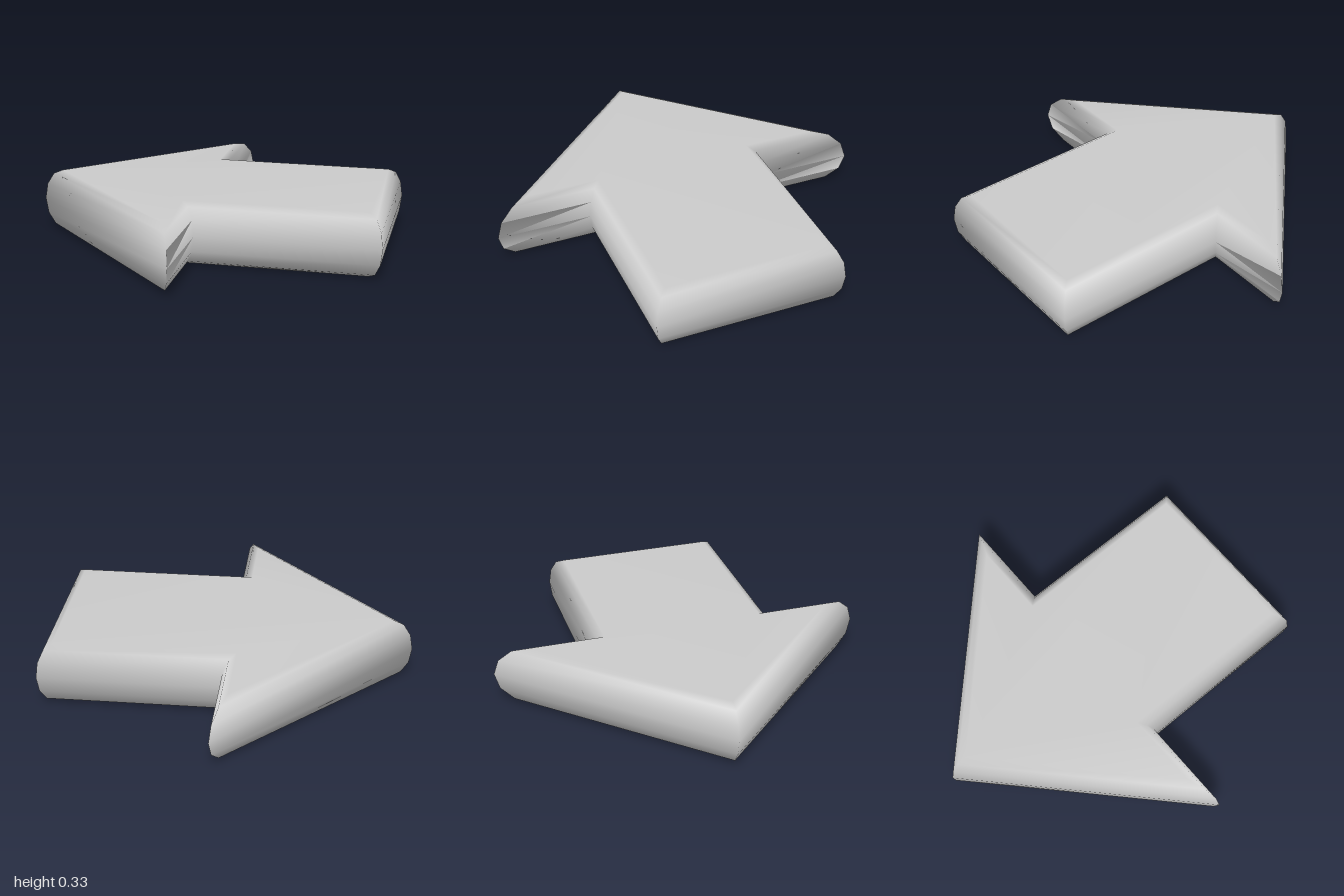
import * as THREE from 'three';

// Arrow outline in plan (x, -z), counter-clockwise, pointing towards -x
const outline = [
  [-0.955, 0], [0.01, -1], [0.01, -0.5], [0.955, -0.5],
  [0.955, 0.5], [0.01, 0.5], [0.01, 1],
].map(([x, y]) => new THREE.Vector2(x, y));

const HALF_HEIGHT = 0.165;
const BEVEL = 0.075;
const STEPS = 3; // bevel segments above and below the middle

// Shrink the outline by a distance, keeping mitred corners
function inset(points, distance) {
  const n = points.length;
  const normals = points.map((p, i) => {
    const d = points[(i + 1) % n].clone().sub(p).normalize();
    return new THREE.Vector2(-d.y, d.x);
  });
  return points.map((p, i) => {
    const a = normals[(i + n - 1) % n];
    const b = normals[i];
    const miter = a.clone().add(b).divideScalar(1 + a.dot(b));
    return p.clone().addScaledVector(miter, distance);
  });
}

function arrowGeometry() {
  const n = outline.length;
  const positions = [];
  const indices = [];

  // Stacked rings following a rounded edge profile
  for (let j = -STEPS; j <= STEPS; j++) {
    const angle = (j / STEPS) * Math.PI / 2;
    const y = HALF_HEIGHT * (1 + Math.sin(angle));
    for (const p of inset(outline, BEVEL * (1 - Math.cos(angle)))) {
      positions.push(p.x, y, -p.y);
    }
  }

  // Rounded side walls
  for (let j = 0; j < 2 * STEPS; j++) {
    for (let i = 0; i < n; i++) {
      const a = j * n + i;
      const b = j * n + (i + 1) % n;
      indices.push(a, b, b + n, a, b + n, a + n);
    }
  }

  // Flat bottom and top
  const top = 2 * STEPS * n;
  for (const [a, b, c] of THREE.ShapeUtils.triangulateShape(inset(outline, BEVEL), [])) {
    indices.push(top + a, top + b, top + c, c, b, a);
  }

  const geometry = new THREE.BufferGeometry();
  geometry.setAttribute('position', new THREE.Float32BufferAttribute(positions, 3));
  geometry.setIndex(indices);
  geometry.computeVertexNormals();
  return geometry;
}

export function createModel() {
  const group = new THREE.Group();
  group.name = 'arrow';
  const body = new THREE.Mesh(
    arrowGeometry(),
    new THREE.MeshStandardMaterial({ color: 0xcccccc }),
  );
  body.name = 'arrowBody';
  group.add(body);
  return group;
}
